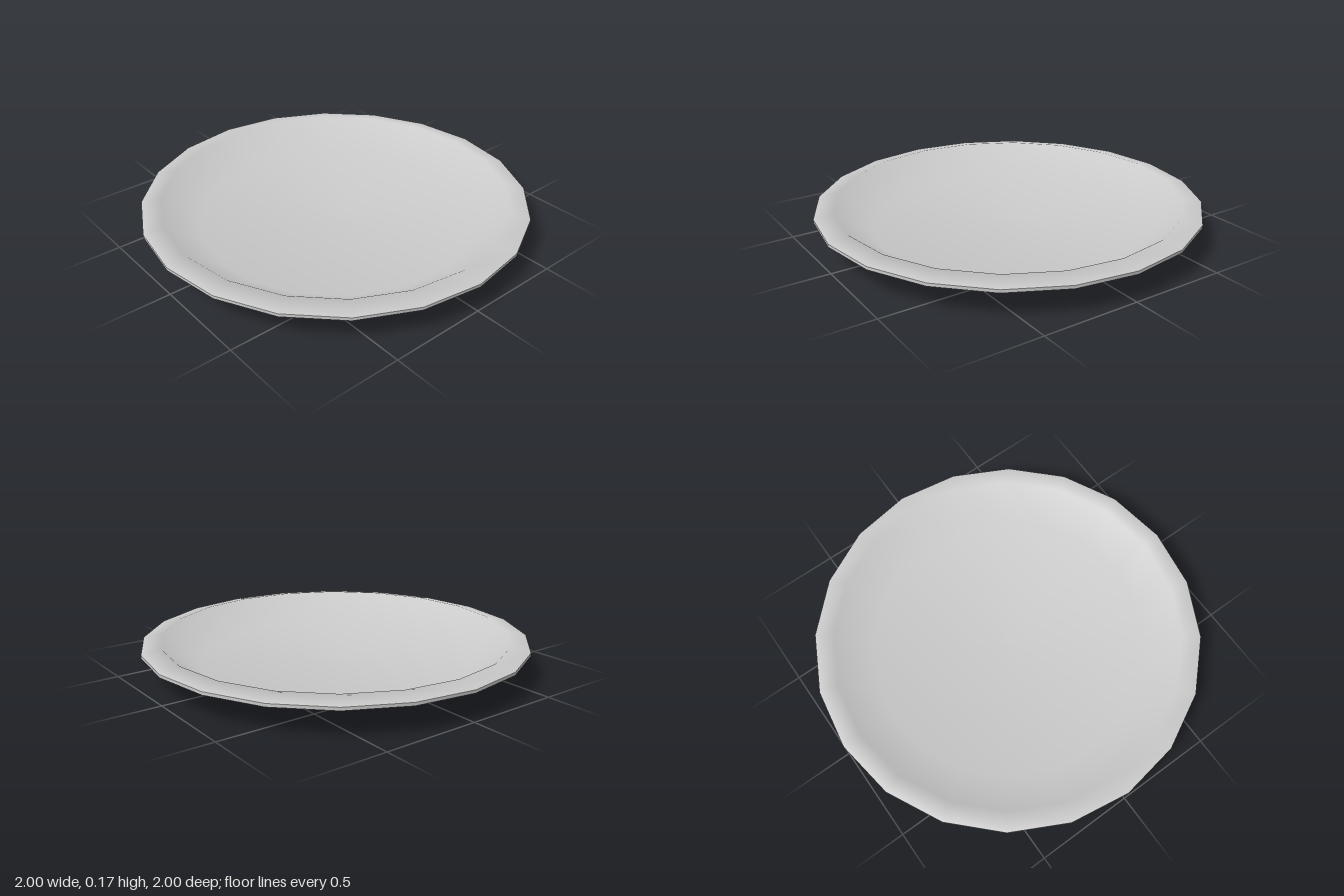
import * as THREE from 'three';

export function createModel() {
  const group = new THREE.Group();
  group.name = 'plate';
  const material = new THREE.MeshStandardMaterial({ color: 0xcccccc });

  // Turns a profile of [radius, height] points; each part keeps a sharp border
  const turn = (name, profile) => {
    const points = profile.map(([r, y]) => new THREE.Vector2(r, y));
    const mesh = new THREE.Mesh(new THREE.LatheGeometry(points, 20), material);
    mesh.name = name;
    group.add(mesh);
  };

  // Shallow base and sloped outer wall
  turn('underside', [[0, 0], [0.02, 0], [0.71, 0.017], [1, 0.136]]);
  // Thin upright edge
  turn('rimEdge', [[1, 0.136], [1, 0.152]]);
  // Rim top, sloped inner wall and gently sunken floor
  turn('dish', [[1, 0.152], [0.9, 0.172], [0.71, 0.038], [0.02, 0.021], [0, 0.021]]);

  return group;
}
